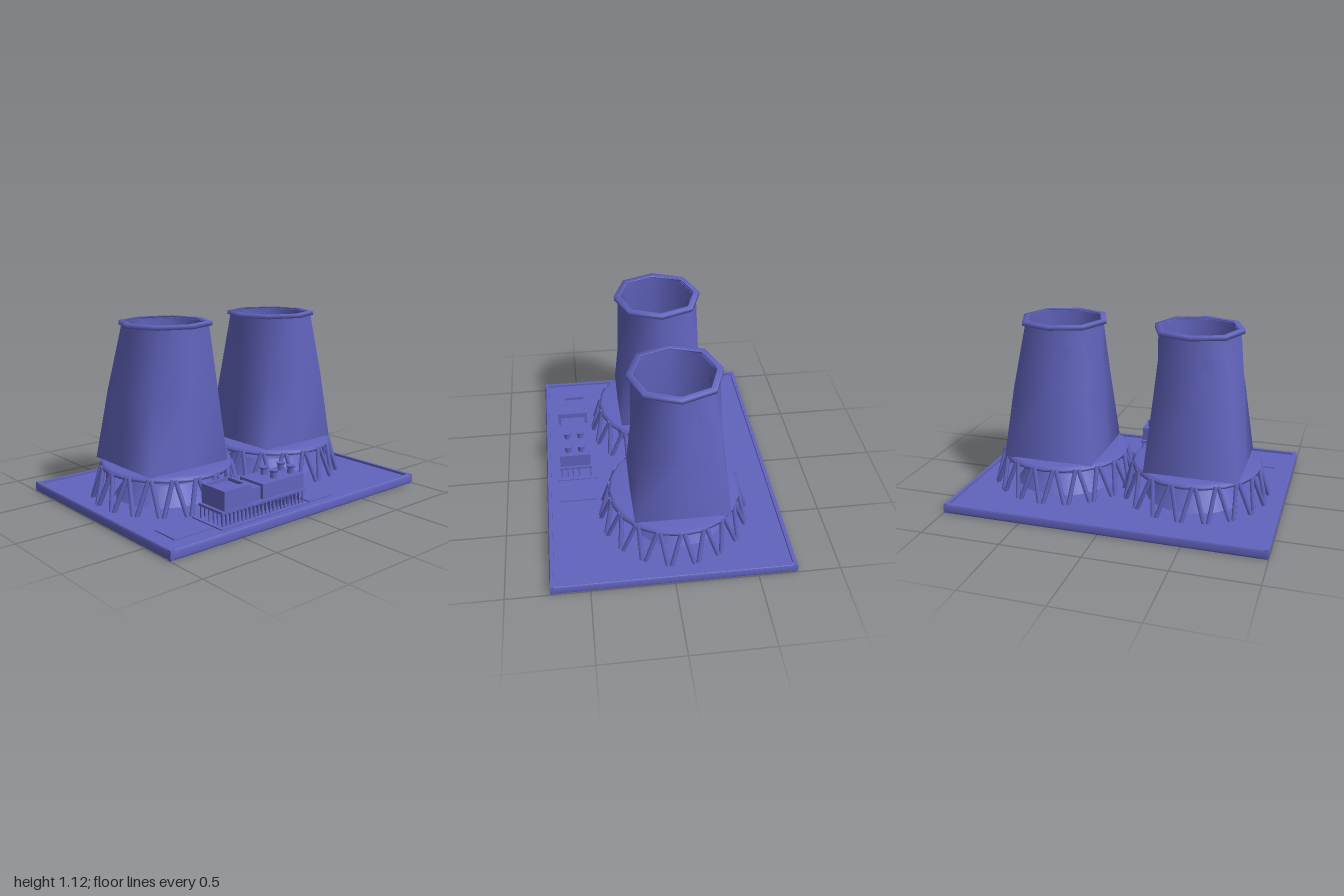
import * as THREE from 'three';

const paint = new THREE.MeshStandardMaterial({ color: 0x6163bd, side: THREE.DoubleSide });
paint.name = 'slate blue';

function add(parent, geometry, name, x = 0, y = 0, z = 0) {
  const mesh = new THREE.Mesh(geometry, paint);
  mesh.name = name;
  mesh.position.set(x, y, z);
  parent.add(mesh);
  return mesh;
}

// Box given by its min and max corners
function block(parent, name, x0, x1, y0, y1, z0, z1) {
  return add(parent, new THREE.BoxGeometry(x1 - x0, y1 - y0, z1 - z0), name,
    (x0 + x1) / 2, (y0 + y1) / 2, (z0 + z1) / 2);
}

// Eight-point cross-section: axis points at radius side, diagonals at radius corner
function section(y, side, corner, cx = 0, cz = 0) {
  return Array.from({ length: 8 }, (_, i) => {
    const a = (i * Math.PI) / 4, r = i % 2 ? corner : side;
    return [cx + Math.cos(a) * r, y, cz + Math.sin(a) * r];
  });
}

function loft(sections) {
  const n = sections[0].length, index = [];
  for (let s = 0; s < sections.length - 1; s++) {
    for (let i = 0; i < n; i++) {
      const a = s * n + i, b = s * n + ((i + 1) % n);
      index.push(a, a + n, b, b, a + n, b + n);
    }
  }
  const g = new THREE.BufferGeometry();
  g.setAttribute('position', new THREE.Float32BufferAttribute(sections.flat(2), 3));
  g.setIndex(index);
  g.computeVertexNormals();
  return g;
}

// Straight bar between two points
function bar(parent, name, from, to, radius, sides) {
  const dir = to.clone().sub(from);
  const mesh = add(parent, new THREE.CylinderGeometry(radius, radius, dir.length(), sides), name);
  mesh.position.copy(from).add(to).multiplyScalar(0.5);
  mesh.quaternion.setFromUnitVectors(new THREE.Vector3(0, 1, 0), dir.normalize());
}

function ringProfile(points, sides) {
  return new THREE.LatheGeometry(points.map(([r, y]) => new THREE.Vector2(r, y)), sides);
}

function coolingTower(name, x, shift, rimShift) {
  const tower = new THREE.Group();
  tower.name = name;
  tower.position.set(x, 0, -0.06);

  // Tapering wall, nearly square at the foot and octagonal at the mouth
  add(tower, loft([
    section(0.265, 0.295, 0.412, shift, -0.02),
    section(0.7, 0.275, 0.34, shift * 0.6, -0.01),
    section(1.11, 0.255, 0.265, rimShift, 0),
  ]), 'outerWall');
  add(tower, loft([
    section(1.11, 0.245, 0.25, rimShift, 0),
    section(0.75, 0.215, 0.295, shift * 0.6, -0.02),
    section(0.25, 0.26, 0.365, shift, -0.02),
  ]), 'innerWall');

  // Lip around the mouth
  add(tower, loft([
    section(1.1, 0.245, 0.25, rimShift, 0),
    section(1.1, 0.278, 0.285, rimShift, 0),
    section(1.125, 0.278, 0.285, rimShift, 0),
    section(1.125, 0.24, 0.248, rimShift, 0),
  ]), 'rim');

  // Ring beam carried by the legs
  add(tower, ringProfile([[0.33, 0.24], [0.41, 0.235], [0.408, 0.25], [0.39, 0.268], [0.27, 0.268]], 20), 'ringBeam');

  // Zigzag legs
  const legs = new THREE.Group();
  legs.name = 'legs';
  tower.add(legs);
  const count = 18;
  const at = (step, r, y) => {
    const a = (step / count) * Math.PI * 2;
    return new THREE.Vector3(Math.cos(a) * r, y, Math.sin(a) * r);
  };
  for (let i = 0; i < count; i++) {
    for (const side of [-0.5, 0.5]) {
      bar(legs, 'leg', at(i + side * 0.85, 0.462, 0.04), at(i + side * 0.12, 0.4, 0.25), 0.014, 6);
    }
  }

  // Basin within the legs
  add(tower, new THREE.CylinderGeometry(0.24, 0.32, 0.12, 20), 'basin', 0, 0.1, -0.02);
  return tower;
}

function pumpHouse() {
  const house = new THREE.Group();
  house.name = 'pumpHouse';

  // Left housing with a recessed roof, right housing and the link between them
  block(house, 'leftHousing', -0.56, -0.36, 0.14, 0.235, 0.44, 0.64);
  for (const [x0, x1, z0, z1] of [[-0.56, -0.545, 0.44, 0.64], [-0.375, -0.36, 0.44, 0.64],
    [-0.545, -0.375, 0.44, 0.455], [-0.545, -0.375, 0.59, 0.64]]) {
    block(house, 'parapet', x0, x1, 0.235, 0.255, z0, z1);
  }
  block(house, 'linkHousing', -0.36, -0.27, 0.14, 0.22, 0.46, 0.62);
  block(house, 'rightHousing', -0.27, 0.06, 0.145, 0.235, 0.44, 0.64);
  block(house, 'deck', -0.58, 0.07, 0.125, 0.14, 0.435, 0.645);
  block(house, 'footing', -0.6, 0.09, 0.04, 0.052, 0.4, 0.665);

  // Roof vents
  for (const x of [-0.13, 0.01]) {
    for (const z of [0.495, 0.58]) {
      add(house, new THREE.CylinderGeometry(0.02, 0.022, 0.05, 10), 'vent', x, 0.25, z);
      add(house, new THREE.CylinderGeometry(0.029, 0.025, 0.012, 10), 'ventCap', x, 0.275, z);
    }
  }

  // Rows of stilts
  for (let i = 0; i < 22; i++) {
    for (const z of [0.445, 0.52, 0.56, 0.595, 0.635]) {
      const x = -0.57 + i * 0.03;
      block(house, 'stilt', x - 0.004, x + 0.004, 0.045, 0.13, z - 0.004, z + 0.004);
    }
  }
  return house;
}

export function createModel() {
  const model = new THREE.Group();
  model.name = 'coolingTowers';

  // Ground slab with a rounded kerb
  const hx = 1, hz = 0.737;
  block(model, 'groundSlab', -0.98, 0.98, 0.01, 0.045, -0.717, 0.717);
  const kerb = new THREE.Shape();
  kerb.moveTo(-0.013, 0);
  kerb.lineTo(0.008, 0);
  kerb.quadraticCurveTo(0.015, 0.004, 0.015, 0.03);
  kerb.quadraticCurveTo(0.015, 0.056, 0.008, 0.06);
  kerb.lineTo(-0.013, 0.06);
  for (let i = 0; i < 4; i++) {
    const along = i % 2 ? hx : hz, out = i % 2 ? hz : hx;
    const g = new THREE.ExtrudeGeometry(kerb, { depth: along * 2 - 0.004, bevelEnabled: false, curveSegments: 4 });
    g.translate(out - 0.015, 0, -along + 0.002);
    add(model, g, 'kerb').rotation.y = (i * Math.PI) / 2;
  }

  // Flat pads beside the pump house
  block(model, 'rightPad', 0.1, 0.29, 0.04, 0.054, 0.41, 0.655);
  block(model, 'leftPad', -0.88, -0.62, 0.04, 0.052, 0.43, 0.61);

  model.add(coolingTower('rightTower', -0.44, -0.025, 0.005));
  model.add(coolingTower('leftTower', 0.44, 0.01, -0.01));
  model.add(pumpHouse());
  return model;
}
